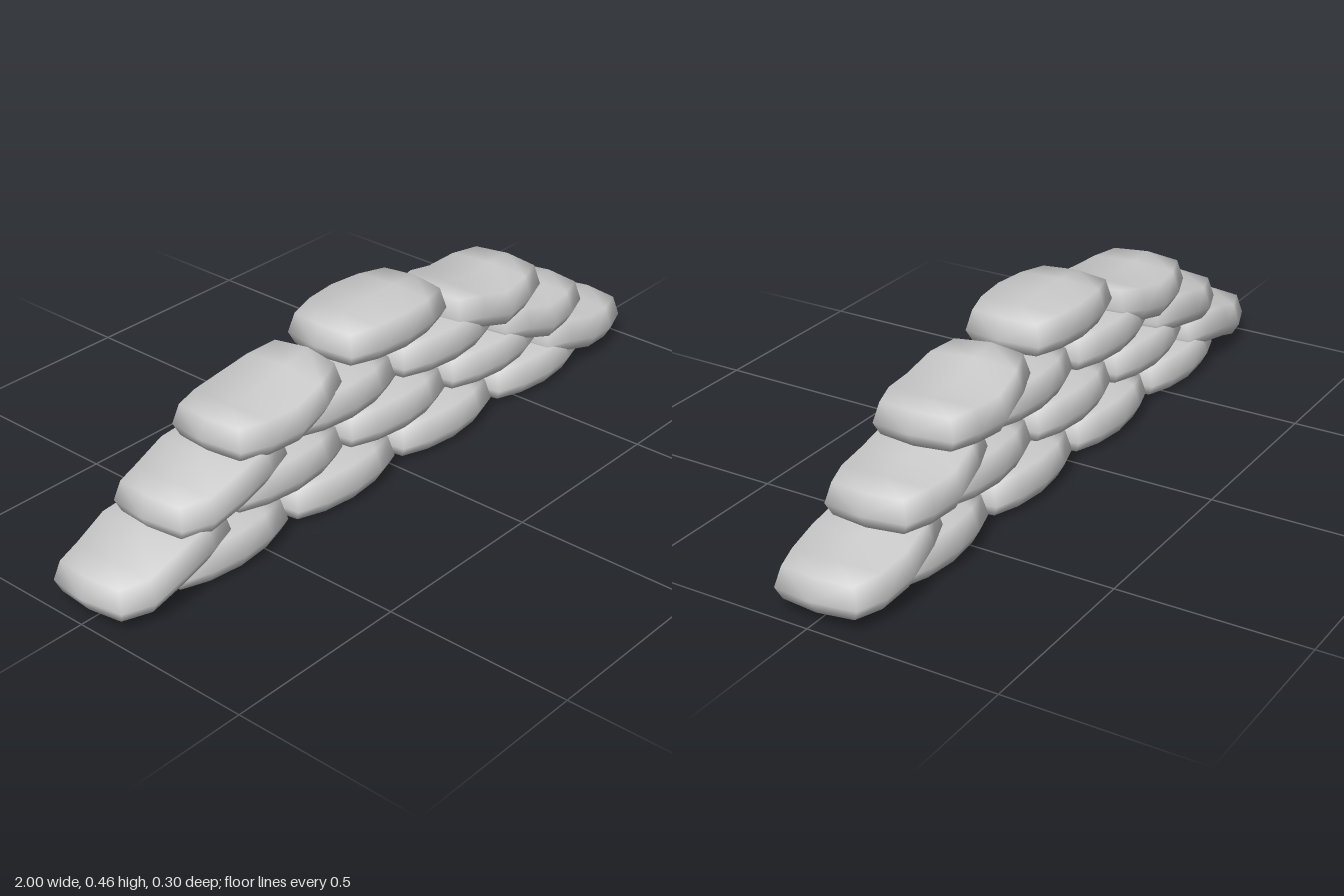
import * as THREE from 'three';

// Lengthwise stations of one bag: [x, half depth]
const STATIONS = [[-0.182, 0.106], [-0.1, 0.132], [0, 0.142], [0.1, 0.132], [0.182, 0.106]];
// Cross-section, clockwise from the top centre: [depth factor, height, length factor, dome]
const SECTION = [
  [0, 0.103, 1.01, 0.007], [0.87, 0.1, 0.94, 0.005], [1, 0.046, 1, 0], [0.87, 0.016, 0.94, -0.005],
  [0, 0.012, 0.99, -0.012],
  [-0.87, 0.016, 0.94, -0.005], [-1, 0.046, 1, 0], [-0.87, 0.1, 0.94, 0.005],
];

// Lift of a draped bag at x, from five evenly spaced heights
function liftAt(lift, x) {
  const t = THREE.MathUtils.clamp((x + 0.2) / 0.1, 0, 3.999);
  const i = Math.floor(t);
  return THREE.MathUtils.lerp(lift[i], lift[i + 1], t - i);
}

function bagGeometry(lift, depth) {
  const pos = [], index = [], n = SECTION.length, m = STATIONS.length;
  const add = (x, y, z) => pos.push(x, y + liftAt(lift, x), z);

  for (const [x, half] of STATIONS) {
    const bulge = 1 - (x / 0.182) ** 2;
    for (const [dz, y, len, dome] of SECTION) add(x * len, y + dome * bulge, dz * half * depth);
  }
  add(-0.203, 0.05, 0);
  add(0.203, 0.05, 0);

  for (let i = 0; i < n; i++) {
    const j = (i + 1) % n;
    for (let s = 0; s < m - 1; s++) {
      const a = s * n + i, b = s * n + j;
      index.push(a, b, a + n, b, b + n, a + n);
    }
    // Rounded ends
    index.push(m * n, j, i);
    index.push(m * n + 1, (m - 1) * n + i, (m - 1) * n + j);
  }

  const geometry = new THREE.BufferGeometry();
  geometry.setAttribute('position', new THREE.Float32BufferAttribute(pos, 3));
  geometry.setIndex(index);
  geometry.computeVertexNormals();
  return geometry;
}

export function createModel() {
  const wall = new THREE.Group();
  wall.name = 'sandbagWall';
  const material = new THREE.MeshStandardMaterial({ color: 0xcccccc });
  const pitch = 0.1157;

  function place(name, geometry, x, row) {
    const bag = new THREE.Mesh(geometry, material);
    bag.name = name;
    bag.position.set(x, row * pitch, -0.003);
    wall.add(bag);
    return bag;
  }

  // Flat bags: four, three, two and one, each row offset by half a bag
  const flat = bagGeometry([0, 0, 0, 0, 0], 1);
  for (let row = 0; row < 4; row++) {
    const count = 4 - row;
    for (let i = 0; i < count; i++) place('flatBag', flat, (i - (count - 1) / 2) * 0.4, row);
  }

  // Draped bags on the stepped ends; heights run from low x to high x
  const rightSide = [
    [0.02, 0.015, 0.05, 0.065, 0.065],
    [0.027, 0.022, 0.05, 0.065, 0.068],
    [0.032, 0.025, 0.025, 0.045, 0.07],
  ];
  const leftSide = [
    [0.065, 0.055, 0.03, 0.018, 0.022],
    [0.068, 0.055, 0.025, 0.025, 0.027],
    [0.065, 0.05, 0.023, 0.03, 0.033],
  ];
  for (let row = 0; row < 3; row++) {
    const x = 0.797 - row * 0.197;
    place('drapedBagRight', bagGeometry(rightSide[row], 1.04), -x, row).rotation.y = 0.03;
    place('drapedBagLeft', bagGeometry(leftSide[row], 1.04), x, row).rotation.y = 0.04;
  }

  return wall;
}
